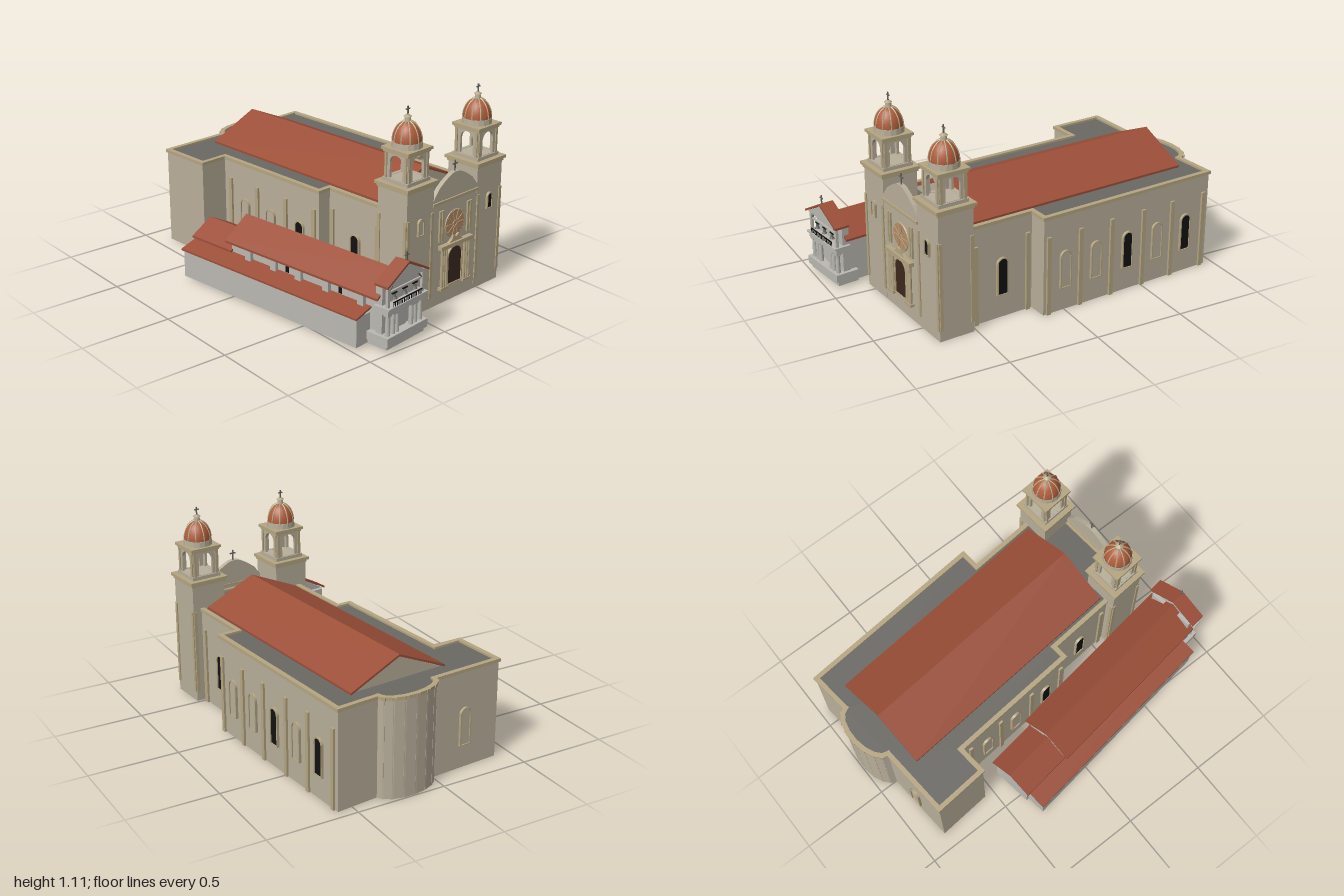
import * as THREE from 'three';

const mat = (color) => new THREE.MeshStandardMaterial({ color, side: THREE.DoubleSide, flatShading: true });
const stone = mat(0xb8ae9a), trim = mat(0xb5a582), tile = mat(0x9c4f39), dark = mat(0x121212);
const door = mat(0x3b281e), deckGrey = mat(0x6a6863), plaster = mat(0xb9b8b1), rose = mat(0xb98a62);
const domeTile = new THREE.MeshStandardMaterial({ color: 0xb05c3c });

function add(parent, name, geo, m, x = 0, y = 0, z = 0, ry = 0) {
  const mesh = new THREE.Mesh(geo, m);
  mesh.name = name;
  mesh.position.set(x, y, z);
  mesh.rotation.y = ry;
  parent.add(mesh);
  return mesh;
}

// Box given by its limits on each axis
function box(parent, name, m, x0, x1, y0, y1, z0, z1) {
  return add(parent, name, new THREE.BoxGeometry(x1 - x0, y1 - y0, z1 - z0), m,
    (x0 + x1) / 2, (y0 + y1) / 2, (z0 + z1) / 2);
}

// Thin wall or moulding that follows a closed plan outline
function wallRing(parent, name, m, pts, y0, y1, t) {
  pts.forEach(([x, z], i) => {
    const [x2, z2] = pts[(i + 1) % pts.length];
    add(parent, name, new THREE.BoxGeometry(Math.hypot(x2 - x, z2 - z) + t * 0.98, y1 - y0, t), m,
      (x + x2) / 2, (y0 + y1) / 2, (z + z2) / 2, -Math.atan2(z2 - z, x2 - x));
  });
}
const rect = (x0, x1, z0, z1) => [[x0, z0], [x1, z0], [x1, z1], [x0, z1]];

const poly = (pts) => new THREE.Shape(pts.map(([x, y]) => new THREE.Vector2(x, y)));
const extrude = (shape, depth) => new THREE.ExtrudeGeometry(shape, { depth, bevelEnabled: false, curveSegments: 10 });

// Round-headed outline standing on y0
function arch(w, h, y0 = 0, Type = THREE.Shape) {
  const s = new Type();
  s.moveTo(-w / 2, y0);
  s.lineTo(w / 2, y0);
  s.lineTo(w / 2, y0 + h - w / 2);
  s.absarc(0, y0 + h - w / 2, w / 2, 0, Math.PI, false);
  s.closePath();
  return s;
}

// Framed arched window or door on a wall; ry turns it to face outwards
function archedWindow(parent, name, m, w, h, x, y, z, ry) {
  const g = new THREE.Group();
  g.name = name;
  const frame = arch(w + 0.014, h + 0.012, -0.005);
  frame.holes.push(arch(w, h, 0, THREE.Path));
  add(g, 'windowFrame', extrude(frame, 0.014), trim);
  add(g, 'windowPanel', extrude(arch(w, h), 0.008), m);
  g.position.set(x, y, z);
  g.rotation.y = ry;
  parent.add(g);
}

// Pitched roof along x with triangular end walls
function gableRoof(parent, name, wallMat, x0, x1, zc, half, eave, ridge, inset) {
  const t = 0.012;
  add(parent, name, extrude(poly([[-half, eave], [0, ridge], [half, eave], [half, eave - t], [0, ridge - t], [-half, eave - t]]),
    x1 - x0), tile, x0, 0, zc, Math.PI / 2);
  for (const x of [x0 + inset, x1 - inset - 0.01])
    add(parent, 'gableWall', extrude(poly([[-half * 0.94, eave - t], [half * 0.94, eave - t], [0, ridge - t]]), 0.01),
      wallMat, x, 0, zc, Math.PI / 2);
}

function cross(parent, x, y, z, h) {
  box(parent, 'cross', deckGrey, x - 0.003, x + 0.003, y, y + h, z - 0.003, z + 0.003);
  box(parent, 'crossArm', deckGrey, x - 0.003, x + 0.003, y + h * 0.62, y + h * 0.74, z - h * 0.3, z + h * 0.3);
}

function bellTower(z) {
  const g = new THREE.Group();
  g.name = 'bellTower';
  g.position.set(0.669, 0, z);
  const slab = (name, m, w, y0, y1) => box(g, name, m, -w / 2, w / 2, y0, y1, -w / 2, w / 2);
  wallRing(g, 'towerWall', stone, rect(-0.096, 0.096, -0.096, 0.096), 0, 0.7, 0.008);
  slab('lowerMoulding', trim, 0.212, 0.685, 0.7);
  slab('lowerCornice', trim, 0.23, 0.7, 0.716);
  slab('belfryBase', stone, 0.172, 0.716, 0.735);
  // Corner pilasters and belfry arches on the four sides
  for (let i = 0; i < 4; i++) {
    const side = new THREE.Group();
    side.name = 'towerSide';
    side.rotation.y = i * Math.PI / 2;
    g.add(side);
    for (const s of [-1, 1])
      box(side, 'pilaster', trim, s * 0.09 - 0.009, s * 0.09 + 0.009, 0.06, 0.54, 0.096, 0.106);
    const face = poly([[-0.078, 0.735], [0.078, 0.735], [0.078, 0.88], [-0.078, 0.88]]);
    face.holes.push(arch(0.085, 0.125, 0.737, THREE.Path));
    add(side, 'belfryArch', extrude(face, 0.014), stone, 0, 0, 0.064);
    for (const s of [-1, 1])
      box(side, 'belfryPilaster', trim, s * 0.067 - 0.007, s * 0.067 + 0.007, 0.735, 0.875, 0.078, 0.084);
  }
  slab('upperMoulding', trim, 0.168, 0.87, 0.882);
  slab('upperCornice', trim, 0.185, 0.882, 0.897);
  // Ribbed dome with lantern
  add(g, 'drum', new THREE.CylinderGeometry(0.078, 0.08, 0.03, 16), stone, 0, 0.912, 0);
  const dome = add(g, 'dome', new THREE.SphereGeometry(0.075, 24, 10, 0, Math.PI * 2, 0, Math.PI / 2), domeTile, 0, 0.925, 0);
  dome.scale.y = 1.4;
  for (let i = 0; i < 5; i++) {
    const rib = add(g, 'domeRib', new THREE.TorusGeometry(0.075, 0.004, 5, 20, Math.PI), trim, 0, 0.925, 0, i * Math.PI / 5);
    rib.scale.y = 1.4;
  }
  add(g, 'lantern', new THREE.CylinderGeometry(0.015, 0.018, 0.03, 10), stone, 0, 1.04, 0);
  add(g, 'lanternCap', new THREE.CylinderGeometry(0.008, 0.022, 0.01, 10), trim, 0, 1.058, 0);
  cross(g, 0, 1.06, 0, 0.046);
  return g;
}

function buildChurch() {
  const g = new THREE.Group();
  g.name = 'church';
  g.rotation.y = 0.0873;
  const zc = -0.234;
  // Main walls with apse and transept, flat deck and parapet
  const plan = [[-0.89, -0.66], [0.183, -0.66], [0.183, -0.55], [0.745, -0.55], [0.745, 0.085], [0.17, 0.085], [0.17, 0.165],
    [-0.59, 0.165], [-0.59, 0.328], [-0.89, 0.328], [-0.885, -0.08]];
  for (let i = 1; i < 8; i++) {
    const a = i * Math.PI / 8;
    plan.push([-0.885 - 0.085 * Math.sin(a), -0.252 + 0.172 * Math.cos(a)]);
  }
  plan.push([-0.885, -0.425]);
  wallRing(g, 'mainWall', stone, plan, 0, 0.55, 0.01);
  wallRing(g, 'parapet', trim, plan, 0.538, 0.556, 0.026);
  const deck = add(g, 'flatRoof', new THREE.ShapeGeometry(poly(plan)), deckGrey, 0, 0.545, 0);
  deck.rotation.x = Math.PI / 2;
  gableRoof(g, 'naveRoof', stone, -0.805, 0.552, zc, 0.29, 0.56, 0.69, 0.02);

  // Side windows and pilasters
  const bays = [
    [-0.665, Math.PI, [[0.055, 0], [-0.14, 0], [-0.345, 1], [-0.545, 0], [-0.74, 1]], [0.16, -0.04, -0.24, -0.45, -0.645, -0.86]],
    [-0.555, Math.PI, [[0.37, 1]], [0.215, 0.53]],
    [0.17, 0, [[-0.41, 0], [-0.2, 0], [0.03, 1]], [-0.53, -0.31, -0.08, 0.14]],
    [0.09, 0, [[0.37, 1]], [0.2, 0.53]],
  ];
  for (const [z, ry, windows, pilasters] of bays) {
    for (const [x, open] of windows) archedWindow(g, 'sideWindow', open ? dark : stone, 0.056, 0.2, x, 0.135, z, ry);
    for (const x of pilasters) box(g, 'sidePilaster', trim, x - 0.012, x + 0.012, 0, 0.44, z - 0.012, z + 0.012);
  }
  archedWindow(g, 'backWindow', stone, 0.056, 0.2, -0.893, 0.135, 0.12, -Math.PI / 2);

  g.add(bellTower(zc - 0.272), bellTower(zc + 0.272));

  // Facade between the towers with curved gable
  box(g, 'facadeWall', stone, 0.748, 0.768, 0, 0.585, zc - 0.18, zc + 0.18);
  const half = [[0.176, 0.57], [0.174, 0.597], [0.155, 0.625], [0.13, 0.655], [0.095, 0.68], [0.065, 0.698], [0.035, 0.713], [0.012, 0.718]];
  const gable = poly([...half, ...half.map(([x, y]) => [-x, y]).reverse()]);
  add(g, 'curvedGable', extrude(gable, 0.026), stone, 0.744, 0, zc, Math.PI / 2);
  box(g, 'facadeCornice', trim, 0.74, 0.778, 0.57, 0.585, zc - 0.178, zc + 0.178);
  cross(g, 0.757, 0.717, zc, 0.06);
  for (const s of [-1, 1]) {
    const zp = zc + s * 0.11;
    for (const d of [-0.01, 0.01])
      box(g, 'facadePilaster', trim, 0.766, 0.778, 0.36, 0.53, zp + d - 0.007, zp + d + 0.007);
    for (const d of [0.072, 0.09, 0.106])
      add(g, 'doorColumn', new THREE.CylinderGeometry(0.008, 0.009, 0.22, 10), trim, 0.782, 0.205, zc + s * d);
    box(g, 'columnBase', trim, 0.766, 0.793, 0.085, 0.1, zc + s * 0.09 - 0.03, zc + s * 0.09 + 0.03);
    archedWindow(g, 'towerWindow', s > 0 ? stone : dark, 0.032, 0.08, 0.768, 0.445, zc + s * 0.272, Math.PI / 2);
  }
  archedWindow(g, 'mainDoor', door, 0.106, 0.205, 0.768, 0.1, zc, Math.PI / 2);
  box(g, 'doorEntablature', trim, 0.766, 0.796, 0.315, 0.337, zc - 0.125, zc + 0.125);
  add(g, 'doorPediment', extrude(poly([[-0.055, 0.337], [0.055, 0.337], [0.03, 0.352], [0.022, 0.375], [0, 0.363], [-0.022, 0.375], [-0.03, 0.352]]), 0.016),
    trim, 0.768, 0, zc, Math.PI / 2);

  // Rose window
  const wheel = new THREE.Group();
  wheel.name = 'roseWindow';
  wheel.position.set(0.768, 0.433, zc);
  wheel.rotation.y = Math.PI / 2;
  g.add(wheel);
  add(wheel, 'roseGlass', new THREE.CircleGeometry(0.073, 32), rose, 0, 0, 0.004);
  add(wheel, 'roseRim', new THREE.TorusGeometry(0.073, 0.005, 6, 32), trim);
  add(wheel, 'roseHub', new THREE.TorusGeometry(0.014, 0.003, 5, 14), trim, 0, 0, 0.004);
  for (let i = 0; i < 10; i++) {
    const a = i * Math.PI / 5;
    const spoke = add(wheel, 'roseSpoke', new THREE.BoxGeometry(0.056, 0.003, 0.004), trim, 0.043 * Math.cos(a), 0.043 * Math.sin(a), 0.005);
    spoke.rotation.z = a;
  }
  return g;
}

function buildChapel() {
  const g = new THREE.Group();
  g.name = 'chapel';
  g.rotation.y = 0.143;
  const zc = 0.372;
  // Hall, lower rear room and lean-to aisle
  wallRing(g, 'hallWall', plaster, rect(-0.17, 0.86, 0.25, 0.49), 0.015, 0.275, 0.01);
  gableRoof(g, 'hallRoof', plaster, -0.187, 0.87, zc, 0.159, 0.28, 0.386, 0.015);
  wallRing(g, 'rearWall', plaster, rect(-0.455, -0.17, 0.262, 0.482), 0.015, 0.215, 0.01);
  gableRoof(g, 'rearRoof', plaster, -0.472, -0.17, zc, 0.136, 0.218, 0.29, 0.015);
  wallRing(g, 'aisleWall', plaster, rect(-0.44, 0.79, 0.485, 0.592), 0.015, 0.175, 0.01);
  add(g, 'aisleRoof', extrude(poly([[-0.607, 0.178], [-0.48, 0.213], [-0.48, 0.203], [-0.607, 0.168]]), 1.258), tile, -0.455, 0, 0, Math.PI / 2);
  for (const x of [-0.035, 0.148, 0.326, 0.515, 0.747])
    box(g, 'buttress', plaster, x - 0.02, x + 0.02, 0.19, 0.272, 0.49, 0.516);
  for (const x of [0.235, 0.6]) box(g, 'hallWindow', dark, x - 0.011, x + 0.011, 0.213, 0.25, 0.49, 0.498);

  // Porch front with columns, balcony and bells
  box(g, 'plinth', plaster, 0.8, 0.92, 0.015, 0.04, zc - 0.145, zc + 0.145);
  box(g, 'porchBase', plaster, 0.8, 0.935, 0.04, 0.085, zc - 0.155, zc + 0.155);
  box(g, 'porchWall', plaster, 0.84, 0.88, 0.085, 0.352, zc - 0.135, zc + 0.135);
  box(g, 'porchDoor', plaster, 0.88, 0.887, 0.085, 0.195, zc - 0.04, zc + 0.04);
  box(g, 'porchEntablature', plaster, 0.84, 0.925, 0.2, 0.23, zc - 0.145, zc + 0.145);
  box(g, 'balconyFloor', plaster, 0.84, 0.937, 0.23, 0.24, zc - 0.152, zc + 0.152);
  box(g, 'balconyRail', dark, 0.928, 0.933, 0.262, 0.267, zc - 0.11, zc + 0.11);
  for (let i = -8; i <= 8; i++)
    box(g, 'baluster', dark, 0.929, 0.932, 0.24, 0.264, zc + i * 0.0135 - 0.0015, zc + i * 0.0135 + 0.0015);
  for (const s of [-1, 1]) {
    for (const d of [0.055, 0.085, 0.125]) {
      add(g, 'porchColumn', new THREE.CylinderGeometry(0.011, 0.013, 0.115, 12), plaster, 0.908, 0.1425, zc + s * d);
      box(g, 'columnCapital', plaster, 0.893, 0.923, 0.19, 0.2, zc + s * d - 0.015, zc + s * d + 0.015);
    }
    box(g, 'balconyPost', plaster, 0.905, 0.92, 0.24, 0.36, zc + s * 0.132 - 0.008, zc + s * 0.132 + 0.008);
    const brace = box(g, 'postBrace', deckGrey, 0.909, 0.916, 0.31, 0.36, zc + s * 0.11 - 0.003, zc + s * 0.11 + 0.003);
    brace.rotation.x = -s * 0.75;
  }
  box(g, 'bellBeam', plaster, 0.905, 0.915, 0.31, 0.32, zc - 0.13, zc + 0.13);
  const bell = [[0, 0.03], [0.006, 0.028], [0.008, 0.012], [0.014, 0]].map(([x, y]) => new THREE.Vector2(x, y));
  for (const d of [-0.078, 0, 0.078]) {
    add(g, 'bell', new THREE.LatheGeometry(bell, 12), deckGrey, 0.91, 0.27, zc + d);
    box(g, 'bellYoke', dark, 0.906, 0.914, 0.298, 0.304, zc + d - 0.018, zc + d + 0.018);
  }
  gableRoof(g, 'porchRoof', plaster, 0.85, 0.935, zc, 0.16, 0.362, 0.448, 0.012);
  cross(g, 0.918, 0.445, zc, 0.05);
  return g;
}

export function createModel() {
  const model = new THREE.Group();
  model.name = 'churchAndChapel';
  model.add(buildChurch(), buildChapel());
  return model;
}
